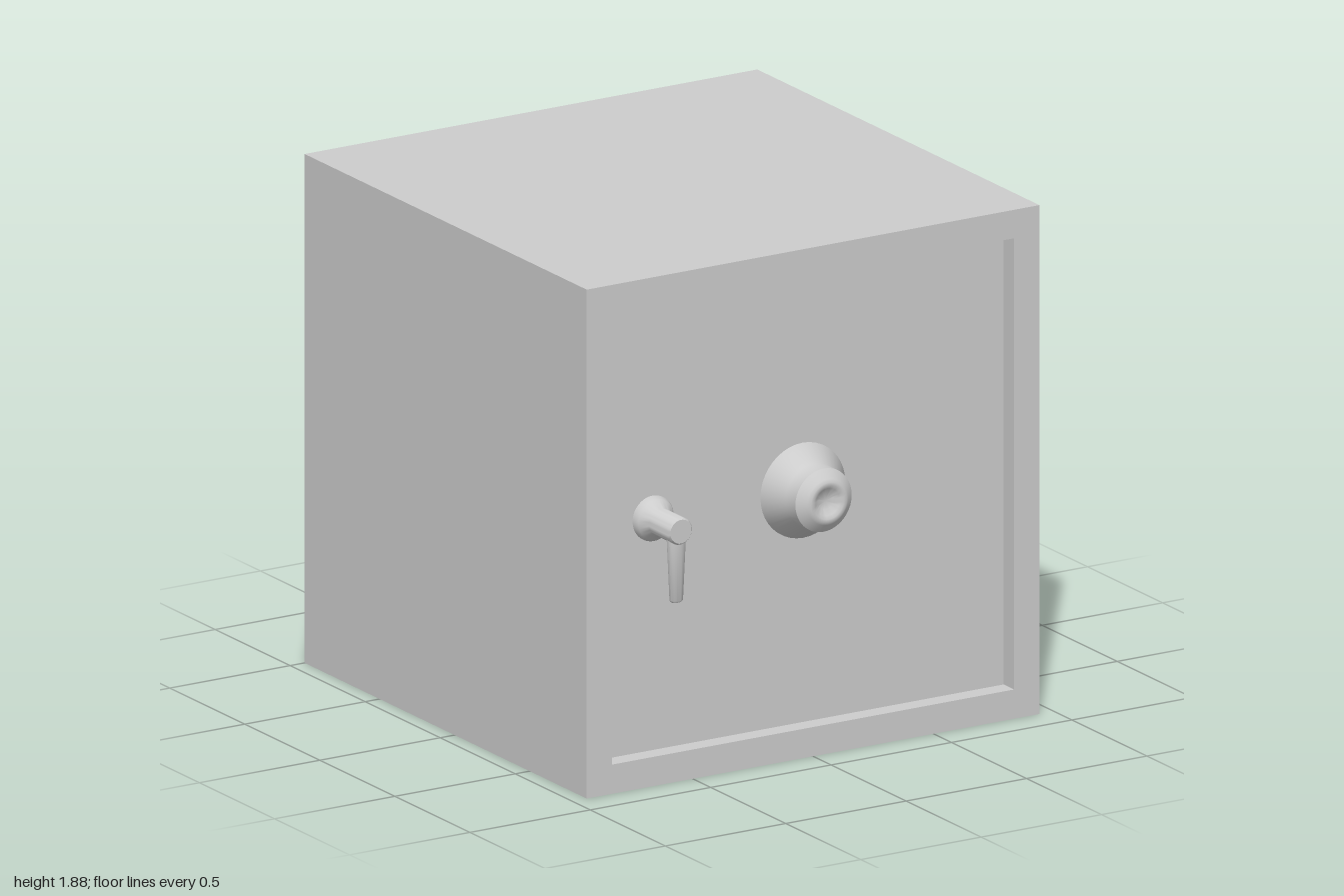
import * as THREE from 'three';
import { toCreasedNormals } from 'three/addons/utils/BufferGeometryUtils.js';

const steel = new THREE.MeshStandardMaterial({ color: 0xcccccc });
steel.name = 'steel';

function add(parent, name, geometry, x = 0, y = 0, z = 0) {
  const mesh = new THREE.Mesh(geometry, steel);
  mesh.name = name;
  mesh.position.set(x, y, z);
  parent.add(mesh);
  return mesh;
}

// Turned part whose axis points to the front; profile is [radius, z]
function turned(profile, crease) {
  const points = profile.map(([r, z]) => new THREE.Vector2(r, z));
  const geometry = new THREE.LatheGeometry(points, 40).rotateX(Math.PI / 2);
  return toCreasedNormals(geometry, crease);
}

function rectangle(path, x, y0, y1) {
  path.moveTo(-x, y0);
  path.lineTo(x, y0);
  path.lineTo(x, y1);
  path.lineTo(-x, y1);
  path.closePath();
  return path;
}

export function createModel() {
  const safe = new THREE.Group();
  safe.name = 'safe';

  const front = 0.88, doorZ = 0.81, backing = 0.8;

  // Casing: solid block with a frame around the recessed door
  add(safe, 'casing', new THREE.BoxGeometry(1.88, 1.88, backing + 1), 0, 0.94, (backing - 1) / 2);
  const frame = rectangle(new THREE.Shape(), 0.94, 0, 1.88);
  frame.holes.push(rectangle(new THREE.Path(), 0.835, 0.108, 1.775));
  add(safe, 'doorFrame', new THREE.ExtrudeGeometry(frame, { depth: front - backing, bevelEnabled: false }), 0, 0, backing);
  add(safe, 'door', new THREE.BoxGeometry(1.67, 1.667, doorZ - backing), 0, 0.9415, (doorZ + backing) / 2);

  // Combination dial: flared skirt, knob, rounded rim and a dished centre
  add(safe, 'dial', turned([
    [0.175, 0], [0.175, 0.005], [0.117, 0.075], [0.117, 0.14], [0.085, 0.168],
    [0.074, 0.175], [0.062, 0.175], [0.05, 0.168], [0.03, 0.155], [0, 0.15],
  ], 0.8), 0, 0.965, doorZ);

  // Handle: rosette and spindle, with a tapering lever hanging from it
  const handle = new THREE.Group();
  handle.name = 'handle';
  handle.position.set(-0.623, 0.965, doorZ);
  safe.add(handle);
  add(handle, 'spindle', turned([
    [0.083, 0], [0.083, 0.008], [0.074, 0.025], [0.05, 0.055],
    [0.05, 0.182], [0.044, 0.19], [0, 0.19],
  ], 0.8));
  const lever = new THREE.LatheGeometry([
    [0, -0.267], [0.02, -0.267], [0.026, -0.26], [0.037, -0.03], [0, -0.03],
  ].map(([r, y]) => new THREE.Vector2(r, y)), 20);
  lever.scale(1, 1, 0.7);
  add(handle, 'lever', toCreasedNormals(lever, 0.7), 0, 0, 0.158);

  return safe;
}
